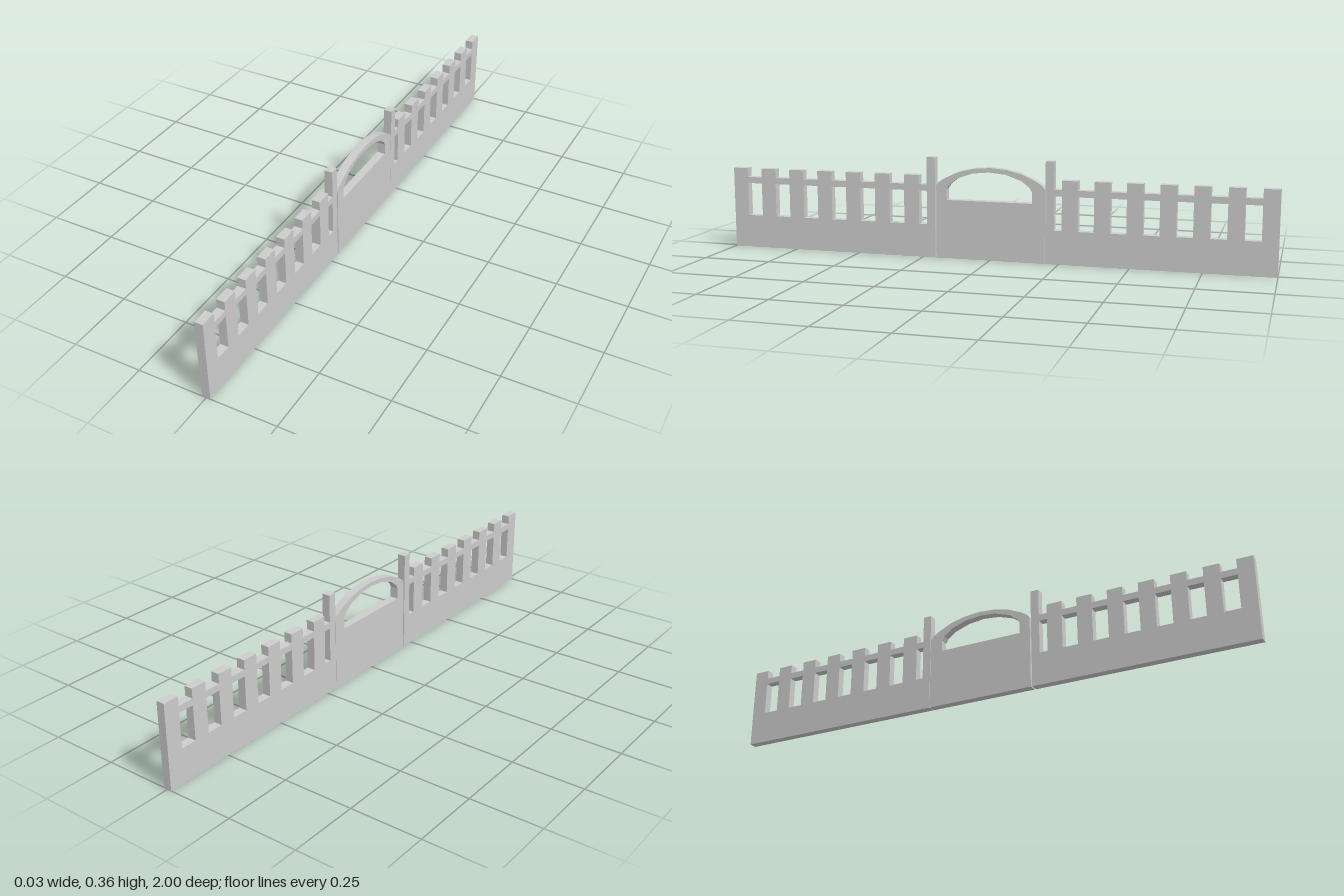
import * as THREE from 'three';

const THICK = 0.03;
const BASE = 0.12, RAIL_LOW = 0.242, RAIL_TOP = 0.265, PICKET_TOP = 0.298, POST_TOP = 0.364;

const material = new THREE.MeshStandardMaterial({ color: 0xcccccc, flatShading: true });

// Extrude a (z, y) profile across the thickness of the fence
function slab(name, shape) {
  const geometry = new THREE.ExtrudeGeometry(shape, { depth: THICK, bevelEnabled: false });
  geometry.translate(0, 0, -THICK / 2).rotateY(-Math.PI / 2);
  const mesh = new THREE.Mesh(geometry, material);
  mesh.name = name;
  return mesh;
}

// Closed outline or hole, always wound counter-clockwise so the extrusion faces outward
function polygon(points, Type = THREE.Shape) {
  const corners = points.map(([z, y]) => new THREE.Vector2(z, y));
  if (THREE.ShapeUtils.isClockWise(corners)) corners.reverse();
  return new Type(corners);
}

function rectHole(a, b) {
  return polygon([[a, BASE], [a, RAIL_LOW], [b, RAIL_LOW], [b, BASE]], THREE.Path);
}

// Fence panel with seven raised pickets, running from the gate post to the far end
function fencePanel(name, side, postInner, postOuter, firstPicket) {
  const step = (1 - firstPicket) / 13;
  const outline = [[postInner, 0], [postInner, POST_TOP], [postOuter, POST_TOP], [postOuter, RAIL_TOP]];
  const gaps = [[postOuter, firstPicket]];
  for (let i = 0; i < 7; i++) {
    const a = firstPicket + 2 * i * step, b = a + step;
    outline.push([a, RAIL_TOP], [a, PICKET_TOP], [b, PICKET_TOP]);
    if (i < 6) {
      outline.push([b, RAIL_TOP]);
      gaps.push([b, b + step]);
    }
  }
  outline.push([1, 0]);
  const shape = polygon(outline.map(([z, y]) => [z * side, y]));
  shape.holes = gaps.map(([a, b]) => rectHole(a * side, b * side));
  return slab(name, shape);
}

// Mirror a half profile, listed from the sill up to the crown, about a centre line
function mirrored(center, half) {
  const right = half.map(([z, y]) => [center + z, y]);
  const left = half.slice(0, -1).reverse().map(([z, y]) => [center - z, y]);
  return [...right, ...left];
}

// Arched gate with a window above the solid lower half
function gate() {
  const shape = polygon(mirrored(-0.001, [
    [0.2, 0], [0.2, 0.264], [0.19, 0.276], [0.168, 0.291], [0.115, 0.315], [0.06, 0.328], [0, 0.333],
  ]));
  shape.holes.push(polygon(mirrored(0.003, [
    [0.157, 0.212], [0.157, 0.252], [0.148, 0.268], [0.118, 0.291], [0.06, 0.311], [0, 0.317],
  ]), THREE.Path));
  return slab('archedGate', shape);
}

export function createModel() {
  const group = new THREE.Group();
  group.name = 'fenceWithGate';
  group.add(
    fencePanel('frontFencePanel', 1, 0.204, 0.235, 0.265),
    gate(),
    fencePanel('backFencePanel', -1, 0.2025, 0.233, 0.261),
  );
  return group;
}
